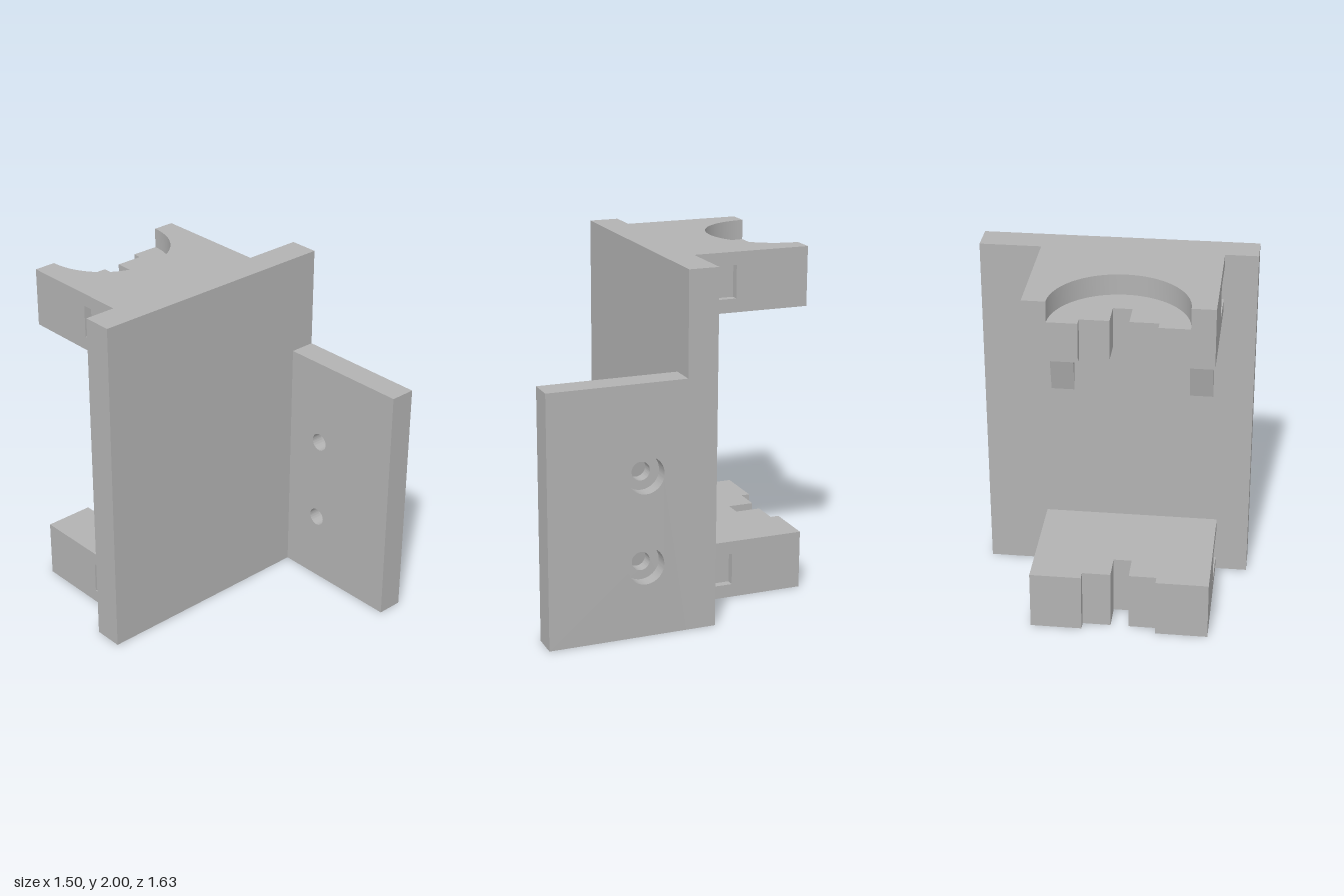
import * as THREE from 'three';
import { toCreasedNormals } from 'three/addons/utils/BufferGeometryUtils.js';

const BACK = 0.815;       // distance of the rear and front ends from the centre
const PLATE_BACK = 0.14;  // rear face of the plate, measured backwards
const MID = -0.077;       // x of the brackets' centre line
const SLOT = 0.045;       // depth of the side slots

const polygon = (pts) => new THREE.Shape(pts.map(([x, y]) => new THREE.Vector2(x, y)));

const extrude = (shape, depth) => new THREE.ExtrudeGeometry(shape, { depth, bevelEnabled: false, curveSegments: 40 });

// Plan outline (x, -z), raised from y0 by height
const raise = (shape, y0, height) =>
  toCreasedNormals(extrude(shape, height).rotateX(-Math.PI / 2).translate(0, y0, 0), 0.5);

// Side outline (-z, y), pushed along x from x0 by width
const push = (shape, x0, width) =>
  toCreasedNormals(extrude(shape, width).rotateY(Math.PI / 2).translate(x0, 0, 0), 0.5);

export function createModel() {
  const model = new THREE.Group();
  model.name = 'mountingBracket';
  const grey = new THREE.MeshStandardMaterial({ color: 0xb2b2b2 });
  grey.name = 'grey';
  const add = (parent, name, geometry) => {
    const mesh = new THREE.Mesh(geometry, grey);
    mesh.name = name;
    parent.add(mesh);
    return mesh;
  };

  // Upright plate
  add(model, 'plate', new THREE.BoxGeometry(1.5, 2, 0.17)).position.set(0, 1, -0.055);

  // Side flange with two counterbored screw holes
  const flange = (radius) => {
    const shape = polygon([[-BACK, 0], [-0.03, 0], [-0.03, 1.42], [-BACK, 1.42]]);
    for (const y of [0.405, 0.915]) {
      const hole = new THREE.Path();
      hole.absarc(-0.265, y, radius, 0, Math.PI * 2, true);
      shape.holes.push(hole);
    }
    return shape;
  };
  add(model, 'flangeInner', push(flange(0.052), 0.6, 0.07));
  add(model, 'flangeOuter', push(flange(0.104), 0.67, 0.08));

  // Bracket core: stepped notch at the rear, between the slotted cheeks
  const left = -0.57 + SLOT, right = 0.415 - SLOT;
  const notched = polygon([
    [left, PLATE_BACK], [right, PLATE_BACK], [right, BACK],
    [0.13, BACK], [0.13, 0.765], [-0.027, 0.765], [-0.027, 0.615],
    [-0.128, 0.615], [-0.128, 0.765], [-0.28, 0.765], [-0.28, BACK], [left, BACK],
  ]);

  // Same core with a half-round seat cut from its rear edge
  const seat = polygon([[left, PLATE_BACK], [right, PLATE_BACK], [right, BACK]]);
  seat.lineTo(MID + 0.367, BACK);
  seat.absarc(MID, BACK, 0.367, 0, -Math.PI, true);
  seat.lineTo(left, BACK);

  const addBracket = (name, y0, height, hasSeat) => {
    const bracket = new THREE.Group();
    bracket.name = name;
    model.add(bracket);
    const seatDepth = hasSeat ? 0.115 : 0;
    add(bracket, 'core', raise(notched, y0, height - seatDepth));
    if (hasSeat) add(bracket, 'roundSeat', raise(seat, y0 + height - seatDepth, seatDepth));
    // Cheeks with a slot open towards the plate
    const cheek = polygon([
      [PLATE_BACK, y0], [BACK, y0], [BACK, y0 + height], [PLATE_BACK, y0 + height],
      [PLATE_BACK, y0 + 0.262], [0.39, y0 + 0.262], [0.39, y0 + 0.077], [PLATE_BACK, y0 + 0.077],
    ]);
    add(bracket, 'rightCheek', push(cheek, -0.57, SLOT));
    add(bracket, 'leftCheek', push(cheek, right, SLOT));
  };
  addBracket('lowerBracket', 0, 0.337, false);
  addBracket('upperBracket', 1.665, 0.335, true);

  // Tapered gussets under the upper bracket
  const gusset = polygon([[PLATE_BACK, 1.14], [0.265, 1.665], [PLATE_BACK, 1.665]]);
  add(model, 'rightGusset', push(gusset, -0.53, 0.13));
  add(model, 'leftGusset', push(gusset, 0.245, 0.13));

  return model;
}
